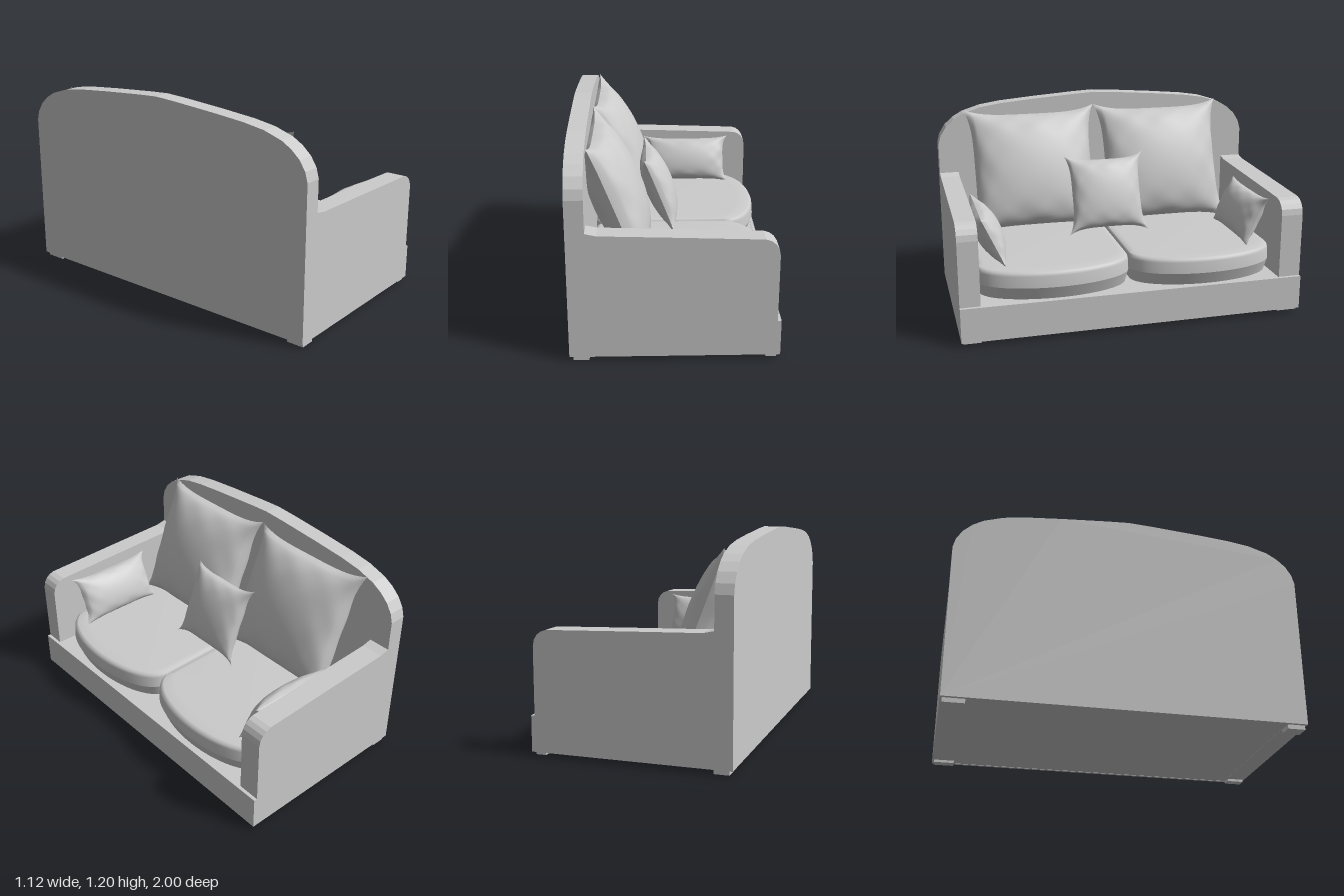
import * as THREE from 'three';
import { mergeGeometries } from 'three/addons/utils/BufferGeometryUtils.js';

const material = new THREE.MeshStandardMaterial({ color: 0xcccccc, side: THREE.DoubleSide });

function add(group, name, geometry, x = 0, y = 0, z = 0) {
  const mesh = new THREE.Mesh(geometry, material);
  mesh.name = name;
  mesh.position.set(x, y, z);
  group.add(mesh);
  return mesh;
}

function box(group, name, x0, x1, y0, y1, z0, z1) {
  add(group, name, new THREE.BoxGeometry(x1 - x0, y1 - y0, z1 - z0),
    (x0 + x1) / 2, (y0 + y1) / 2, (z0 + z1) / 2);
}

function plate(points, depth) {
  const shape = new THREE.Shape(points.map(([a, b]) => new THREE.Vector2(a, b)));
  return new THREE.ExtrudeGeometry(shape, { depth, bevelEnabled: false });
}

// Stuffed pillow facing z: pinched corners, hollow edges, bulging faces with soft creases
function pillow(w, h, t, pinch) {
  const faces = [1, -1].map((side) => {
    const g = new THREE.PlaneGeometry(2, 2, 36, 36);
    const p = g.attributes.position;
    for (let i = 0; i < p.count; i++) {
      const u = p.getX(i), v = p.getY(i);
      const puff = Math.pow((1 - u * u) * (1 - v * v), 0.55);
      const rim = Math.max(u * u, v * v) ** 2;
      const crease = 1 + 0.14 * rim * Math.sin(11 * u + 1) * Math.sin(9 * v + 2);
      p.setXYZ(i,
        u * w * (1 - pinch * (1 - v ** 4) * u * u),
        v * h * (1 - pinch * (1 - u ** 4) * v * v),
        side * t * puff * crease);
    }
    if (side < 0) {
      const idx = g.index.array;
      for (let i = 0; i < idx.length; i += 3) [idx[i], idx[i + 1]] = [idx[i + 1], idx[i]];
    }
    g.computeVertexNormals();
    return g;
  });
  return mergeGeometries(faces);
}

// Seat cushion: one bow-fronted outline stacked in rings, z measured from its middle
function seatCushion(half) {
  const s = new THREE.Shape();
  s.moveTo(-0.46, -half + 0.06);
  s.quadraticCurveTo(-0.45, -half, -0.36, -half);
  s.lineTo(0.34, -half);
  s.bezierCurveTo(0.47, -half, 0.55, -0.22, 0.55, 0);
  s.bezierCurveTo(0.55, 0.22, 0.47, half, 0.34, half);
  s.lineTo(-0.36, half);
  s.quadraticCurveTo(-0.45, half, -0.46, half - 0.06);
  const outline = s.getPoints(14);
  const n = outline.length;
  const cx = 0.04;
  // Height and outline scale of each ring; repeated rings keep the edges crisp
  const rings = [[0.225, 0], [0.225, 0.94], [0.225, 0.94], [0.3, 1], [0.3, 1],
    [0.365, 0.99], [0.382, 0.975], [0.39, 0.94], [0.395, 0.8], [0.397, 0]];
  const pos = [], idx = [];
  rings.forEach(([y, k]) => outline.forEach((p) => {
    // Only the front and back shrink much, so neighbours stay touching
    const kz = k === 0 ? 0 : 1 - (1 - k) * 0.5;
    pos.push(cx + (p.x - cx) * k, y, p.y * kz);
  }));
  for (let r = 0; r < rings.length - 1; r++) {
    for (let i = 0; i < n; i++) {
      const j = (i + 1) % n;
      const a = r * n + i, b = r * n + j, c = a + n, d = b + n;
      idx.push(a, c, b, b, c, d);
    }
  }
  const g = new THREE.BufferGeometry();
  g.setAttribute('position', new THREE.Float32BufferAttribute(pos, 3));
  g.setIndex(idx);
  g.computeVertexNormals();
  return g;
}

export function createModel() {
  const sofa = new THREE.Group();
  sofa.name = 'sofa';

  // Arched back panel
  const arch = [[1, 0.025], [1, 0.91], [0.985, 0.965], [0.95, 1.02], [0.9, 1.065],
    [0.84, 1.1], [0.73, 1.135], [0.6, 1.155], [0.4, 1.173], [0.13, 1.193]];
  const back = [...arch, [0, 1.2], ...arch.map(([z, y]) => [-z, y]).reverse()];
  add(sofa, 'backPanel', plate(back, 0.1).rotateY(Math.PI / 2), -0.56);

  // Arms with rounded front corner
  const arm = [[-0.46, 0.025], [0.537, 0.025], [0.537, 0.6], [0.53, 0.635], [0.513, 0.662],
    [0.49, 0.68], [0.46, 0.69], [0, 0.705], [-0.4, 0.717], [-0.46, 0.73]];
  add(sofa, 'leftArm', plate(arm, 0.115), 0, 0, 0.885);
  add(sofa, 'rightArm', plate(arm, 0.13), 0, 0, -1);

  // Base and front rail
  box(sofa, 'base', -0.46, 0.537, 0.027, 0.222, -0.95, 0.95);
  box(sofa, 'frontRail', 0.537, 0.557, 0.025, 0.225, -1, 1);

  // Feet
  for (const [z0, z1] of [[0.89, 0.99], [-0.99, -0.87]]) {
    box(sofa, 'backFoot', -0.54, -0.455, 0, 0.03, z0, z1);
    box(sofa, 'frontFoot', 0.48, 0.537, 0.01, 0.03, z0, z1);
  }

  // Seat cushions
  add(sofa, 'leftSeatCushion', seatCushion(0.441), 0, 0, 0.443);
  add(sofa, 'rightSeatCushion', seatCushion(0.434), 0, 0, -0.434);

  // Leaning back cushions
  for (const [name, z] of [['leftBackCushion', 0.43], ['rightBackCushion', -0.395]]) {
    const g = pillow(0.41, 0.39, 0.145, 0.11).rotateY(Math.PI / 2).rotateZ(0.371);
    add(sofa, name, g, -0.31, 0.76, z);
  }

  // Small pillow in the middle
  const small = pillow(0.25, 0.245, 0.085, 0.15).rotateY(Math.PI / 2).rotateZ(0.375);
  add(sofa, 'middlePillow', small, -0.07, 0.64, 0.025);

  // Pillows resting against the arms
  for (const [name, z, tilt] of [['leftArmPillow', 0.787, 0.43], ['rightArmPillow', -0.775, -0.43]]) {
    add(sofa, name, pillow(0.285, 0.158, 0.078, 0.12).rotateX(tilt), 0.13, 0.53, z);
  }
  return sofa;
}
